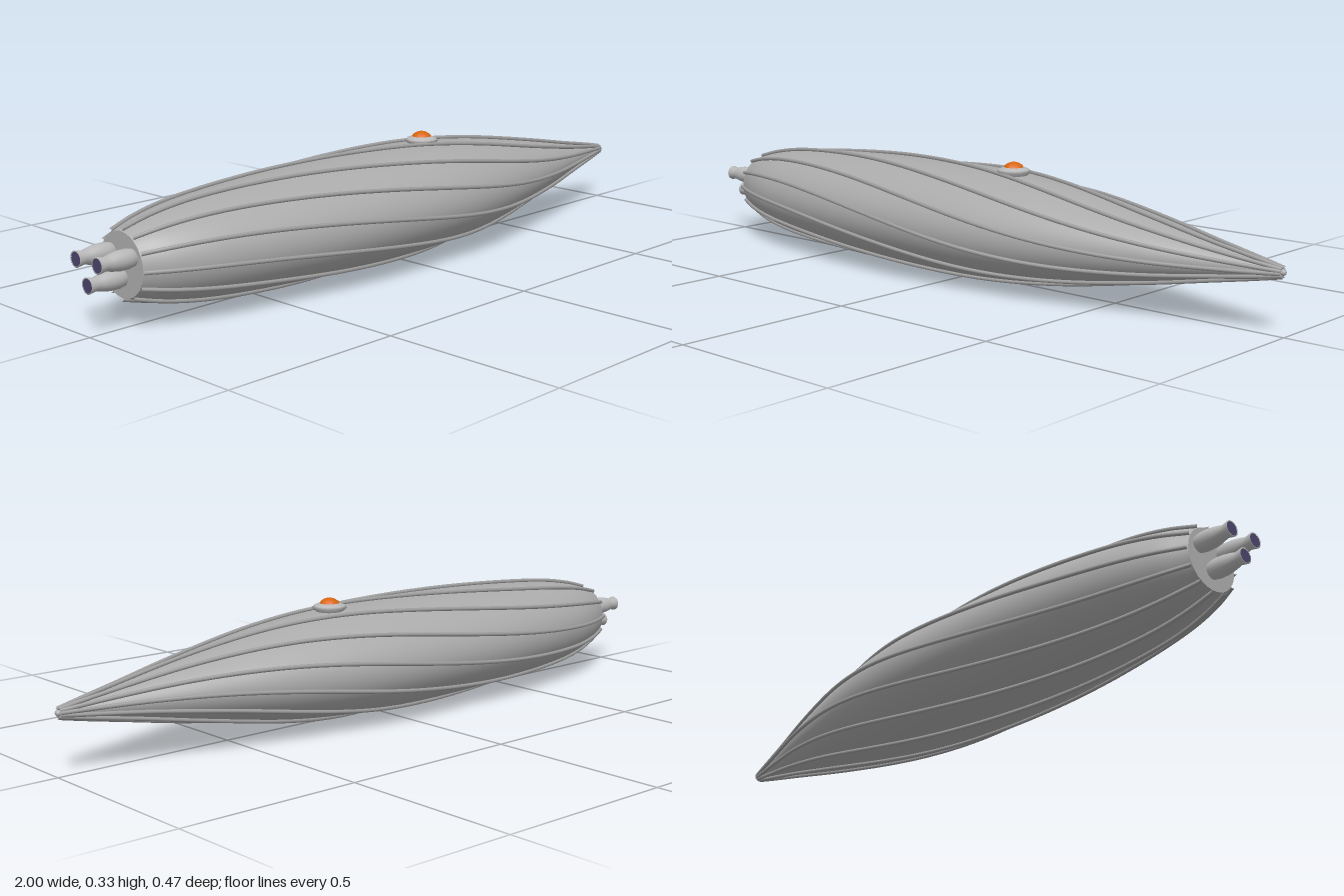
import * as THREE from 'three';

const material = (name, color) => {
  const m = new THREE.MeshStandardMaterial({ color });
  m.name = name;
  return m;
};

const CENTER_Y = 0.156;
const RIBS = 12;

// Hull stations: x, half height, half width
const stations = new THREE.CatmullRomCurve3([
  [-0.9, 0.083, 0.083], [-0.82, 0.104, 0.122], [-0.7, 0.123, 0.16], [-0.4, 0.142, 0.208],
  [-0.05, 0.148, 0.225], [0.15, 0.143, 0.216], [0.35, 0.124, 0.185], [0.62, 0.08, 0.118],
  [0.8, 0.045, 0.064], [0.93, 0.02, 0.026], [0.992, 0.007, 0.008],
].map((p) => new THREE.Vector3(...p)), false, 'centripetal');

// Point on the hull at station t and angle a (0 is the top), pushed out by lift
function hullPoint(t, a, lift = 0) {
  const s = stations.getPoint(t);
  return new THREE.Vector3(
    s.x, CENTER_Y + (s.y + lift) * Math.cos(a), (s.z + lift) * Math.sin(a));
}

// Elliptical hull skin lofted along the stations
function hullGeometry(rows = 72, cols = 72) {
  const pos = [], index = [];
  for (let i = 0; i <= rows; i++) {
    for (let j = 0; j < cols; j++) pos.push(...hullPoint(i / rows, (j / cols) * Math.PI * 2));
  }
  for (let i = 0; i < rows; i++) {
    for (let j = 0; j < cols; j++) {
      const a = i * cols + j, b = i * cols + ((j + 1) % cols);
      index.push(a, b, a + cols, b, b + cols, a + cols);
    }
  }
  const g = new THREE.BufferGeometry();
  g.setAttribute('position', new THREE.Float32BufferAttribute(pos, 3));
  g.setIndex(index);
  g.computeVertexNormals();
  return g;
}

// One rib spiralling along the hull
function ribGeometry(start) {
  const pts = [];
  for (let i = 0; i <= 40; i++) {
    const t = i / 40;
    const x = stations.getPoint(t).x;
    const twist = THREE.MathUtils.degToRad(-28 + 68 * THREE.MathUtils.smoothstep(x, -0.9, 1));
    pts.push(hullPoint(t, start + twist, 0.004));
  }
  return new THREE.TubeGeometry(new THREE.CatmullRomCurve3(pts), 80, 0.0055, 8);
}

export function createModel() {
  const model = new THREE.Group();
  model.name = 'airship';
  const hullGrey = material('hull grey', 0xababab);
  const ribGrey = material('rib grey', 0x9c9c9c);
  const paleGrey = material('pale grey', 0xb8b8b8);
  const orange = material('canopy orange', 0xd9640f);
  const exhaust = material('exhaust violet', 0x4a4468);

  const add = (name, geometry, mat, parent = model) => {
    const mesh = new THREE.Mesh(geometry, mat);
    mesh.name = name;
    parent.add(mesh);
    return mesh;
  };

  // Hull with flat stern and small rounded nose
  add('hull', hullGeometry(), hullGrey);
  add('stern', new THREE.CircleGeometry(0.083, 48).rotateY(-Math.PI / 2), hullGrey)
    .position.set(-0.9, CENTER_Y, 0);
  add('noseTip', new THREE.SphereGeometry(0.008, 16, 12), hullGrey)
    .position.set(0.992, CENTER_Y, 0);

  // Spiral ribs
  const ribs = new THREE.Group();
  ribs.name = 'ribs';
  model.add(ribs);
  for (let i = 0; i < RIBS; i++) {
    add('rib', ribGeometry((i / RIBS) * Math.PI * 2), ribGrey, ribs);
  }

  // Canopy: lens-shaped collar with a domed window
  const canopy = new THREE.Group();
  canopy.name = 'canopy';
  canopy.position.set(0.15, 0.306, 0);
  model.add(canopy);
  const collar = [[0.034, -0.014], [0.047, 0], [0.042, 0.006], [0.027, 0.012]]
    .map((p) => new THREE.Vector2(...p));
  add('canopyCollar', new THREE.LatheGeometry(collar, 16), paleGrey, canopy);
  const dome = [[0.028, 0.01], [0.024, 0.017], [0.014, 0.023], [0, 0.027]]
    .map((p) => new THREE.Vector2(...p));
  add('canopyDome', new THREE.LatheGeometry(dome, 12), orange, canopy);

  // Three engine pods in a triangle at the stern
  const pod = [[0.012, 0], [0.021, 0.015], [0.025, 0.035], [0.025, 0.06], [0.021, 0.085],
    [0.017, 0.1], [0.021, 0.12], [0.018, 0.12]].map((p) => new THREE.Vector2(...p));
  for (const [y, z] of [[0.182, 0.042], [0.182, -0.042], [0.125, 0]]) {
    const engine = new THREE.Group();
    engine.name = 'engine';
    engine.position.set(-0.88, y, z);
    model.add(engine);
    add('enginePod', new THREE.LatheGeometry(pod, 20).rotateZ(Math.PI / 2), paleGrey, engine);
    add('engineExhaust', new THREE.CircleGeometry(0.0185, 20).rotateY(-Math.PI / 2), exhaust, engine)
      .position.x = -0.1195;
  }
  return model;
}
